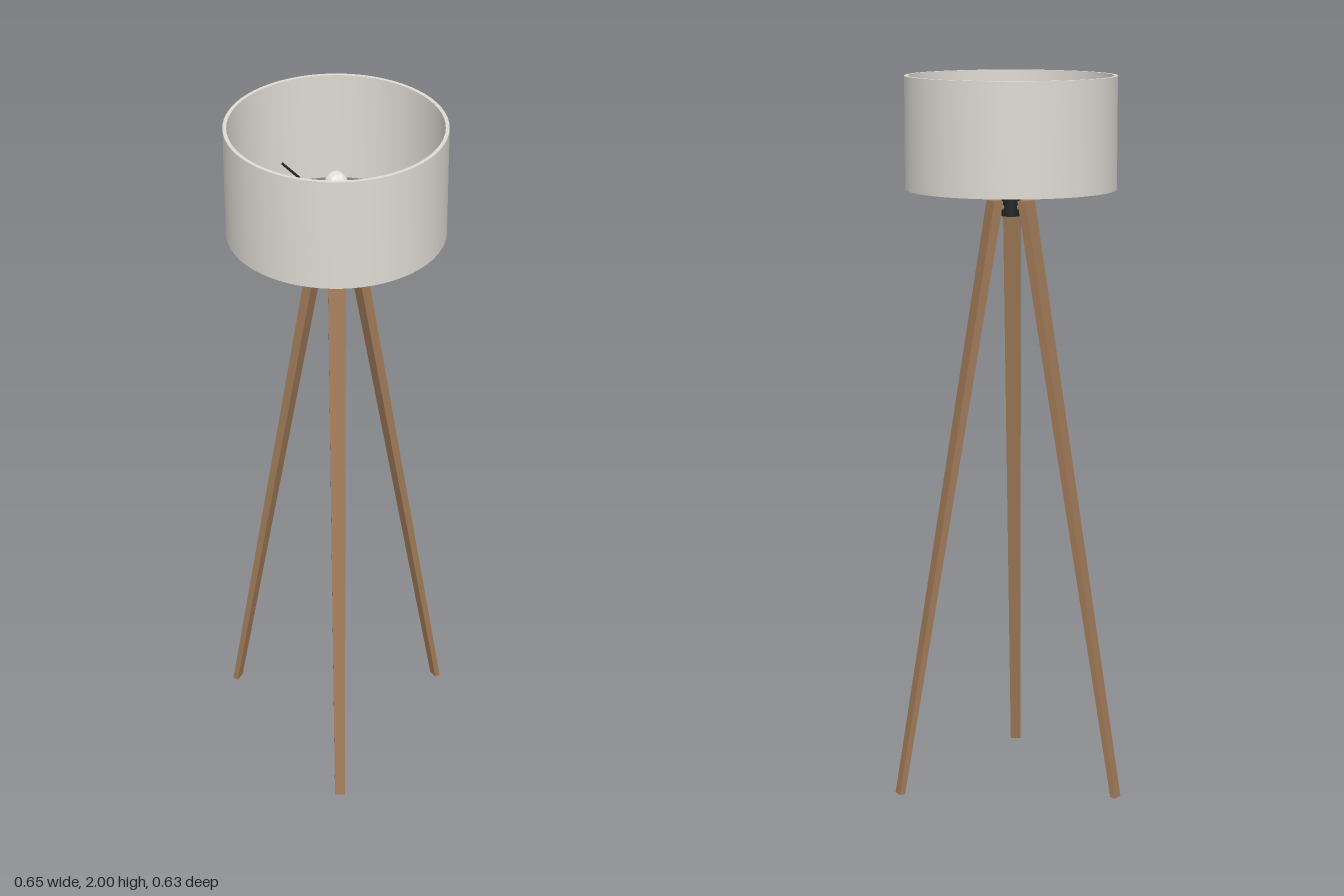
import * as THREE from 'three';
import { toCreasedNormals } from 'three/addons/utils/BufferGeometryUtils.js';

const mat = (name, color) => {
  const m = new THREE.MeshStandardMaterial({ color });
  m.name = name;
  return m;
};

export function createModel() {
  const wood = mat('wood', 0xa07a58);
  const black = mat('black metal', 0x222325);
  const fabric = mat('shade fabric', 0xdedad3);
  const glass = mat('bulb glass', 0xe9e5e1);

  const model = new THREE.Group();
  model.name = 'tripodLamp';
  const lamp = new THREE.Group();
  lamp.name = 'lamp';
  lamp.position.x = -0.033;
  model.add(lamp);

  const add = (name, geometry, material, parent = lamp) => {
    const mesh = new THREE.Mesh(geometry, material);
    mesh.name = name;
    parent.add(mesh);
    return mesh;
  };
  const lathe = (pts, segments) =>
    toCreasedNormals(new THREE.LatheGeometry(pts.map(([x, y]) => new THREE.Vector2(x, y)), segments), 0.6);

  // Thin-walled drum shade, open at top and bottom
  add('shade', lathe([[0.292, 1.69], [0.292, 2], [0.282, 2], [0.282, 1.69], [0.292, 1.69]], 64), fabric);

  // Central column and lamp socket
  add('column', new THREE.CylinderGeometry(0.026, 0.026, 0.155, 32).translate(0, 1.6925, 0), black);

  // Bulb: narrow neck swelling into a globe
  const bulb = [[0, 1.768], [0.014, 1.768], [0.015, 1.785], [0.022, 1.808]];
  for (let i = 0; i <= 12; i++) {
    const a = -0.5 + (i / 12) * (Math.PI / 2 + 0.5);
    bulb.push([Math.max(0, 0.03 * Math.cos(a)), 1.835 + 0.03 * Math.sin(a)]);
  }
  add('bulb', lathe(bulb, 32), glass);

  // Leg: a box tapered and splayed outward from top to foot
  const leg = new THREE.BoxGeometry(1, 1, 1);
  const p = leg.attributes.position;
  for (let i = 0; i < p.count; i++) {
    const top = p.getY(i) > 0;
    const outer = p.getX(i) > 0;
    const radius = top ? (outer ? 0.063 : 0.036) : (outer ? 0.358 : 0.342);
    p.setXYZ(i, radius, top ? 1.66 : 0, Math.sign(p.getZ(i)) * (top ? 0.024 : 0.0145));
  }
  leg.computeVertexNormals();

  const pin = new THREE.CylinderGeometry(0.008, 0.008, 0.03, 16).rotateZ(Math.PI / 2).translate(0.035, 1.64, 0);
  const spoke = new THREE.CylinderGeometry(0.0035, 0.0035, 0.284, 12).rotateZ(Math.PI / 2).translate(0.142, 1.755, 0);

  // Three legs with pins, and three spokes carrying the shade
  for (let i = 0; i < 3; i++) {
    const angle = (i * Math.PI * 2) / 3;
    const assembly = new THREE.Group();
    assembly.name = 'legAssembly' + (i + 1);
    assembly.rotation.y = angle;
    lamp.add(assembly);
    add('leg', leg, wood, assembly);
    add('legPin', pin, wood, assembly);
    add('shadeSpoke' + (i + 1), spoke, black).rotation.y = angle + Math.PI / 2;
  }
  return model;
}
